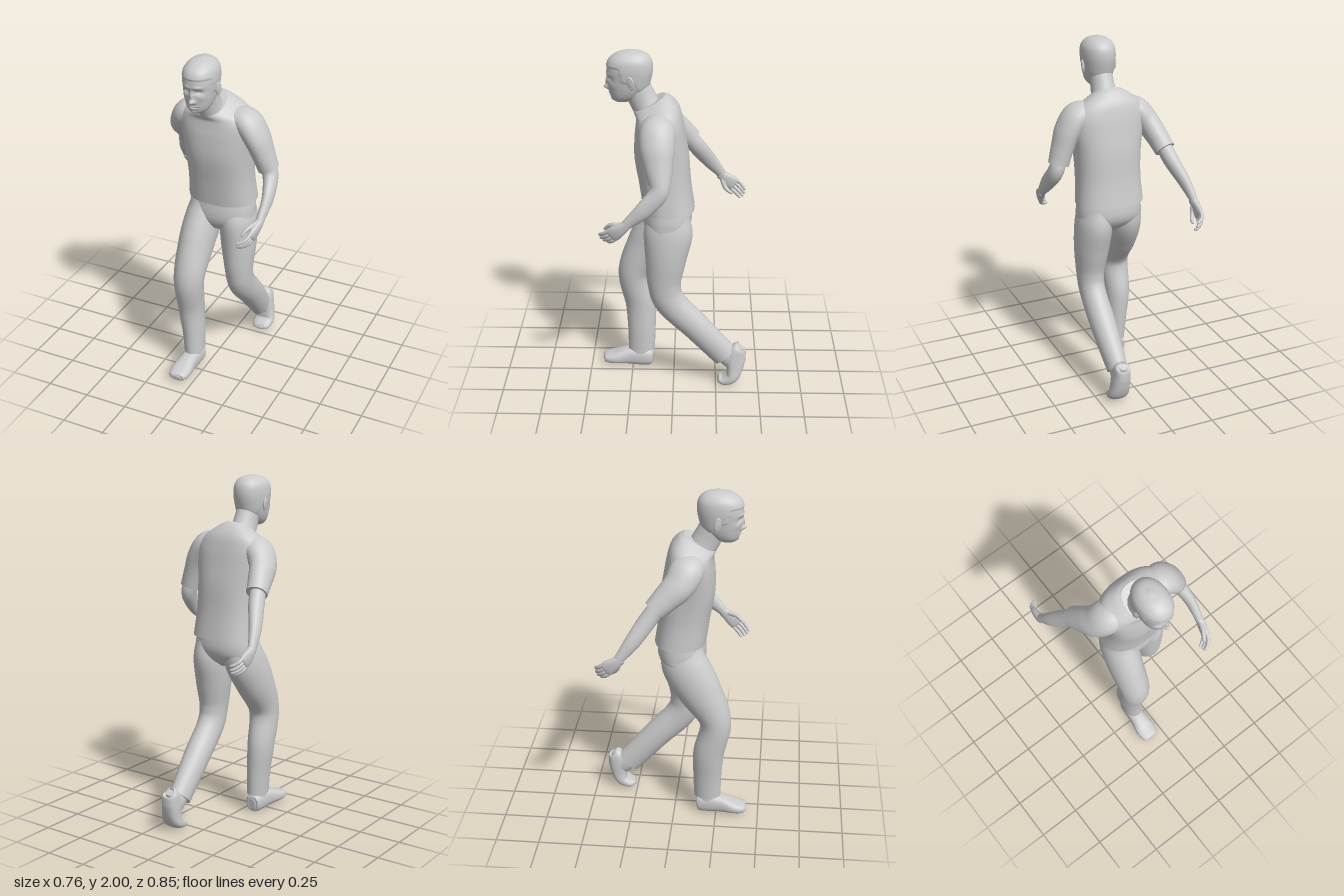
import * as THREE from 'three';

const V = (x, y, z) => new THREE.Vector3(x, y, z);
const X = V(1, 0, 0), Y = V(0, 1, 0), Z = V(0, 0, 1);
const material = new THREE.MeshStandardMaterial({ color: 0xcccccc, side: THREE.DoubleSide });

// Smooth capped tube through sections [x, y, z, halfSide, halfDepth, tilt].
// ref sets the side axis; flat keeps rings horizontal; rule moves each point.
function loft(name, sections, { n = 28, rows = 28, ref = X, flat = false, power = 2, rule } = {}) {
  const path = new THREE.CatmullRomCurve3(sections.map(s => V(s[0], s[1], s[2])), false, 'catmullrom');
  const size = new THREE.CatmullRomCurve3(sections.map(s => V(s[3], s[4], s[5] || 0)), false, 'catmullrom');
  const pos = [], index = [], rings = [];
  const sup = v => Math.sign(v) * Math.pow(Math.abs(v), 2 / power);
  for (let i = 0; i <= rows; i++) {
    const c = path.getPoint(i / rows), r = size.getPoint(i / rows);
    const t = flat ? Y : path.getTangent(i / rows);
    const side = ref.clone().addScaledVector(t, -ref.dot(t)).normalize();
    const up = t.clone().cross(side);
    const ring = [];
    for (let j = 0; j < n; j++) {
      const a = j / n * Math.PI * 2;
      const p = c.clone()
        .addScaledVector(side, Math.max(r.x, 0.002) * sup(Math.cos(a)))
        .addScaledVector(up, Math.max(r.y, 0.002) * sup(Math.sin(a)));
      p.y -= r.z * (p.z - c.z);
      if (rule) rule(p, c);
      ring.push(p);
      pos.push(p.x, p.y, p.z);
    }
    rings.push(ring);
  }
  for (let i = 0; i < rows; i++) for (let j = 0; j < n; j++) {
    const k = (j + 1) % n, a = i * n + j, b = i * n + k;
    index.push(a, b, b + n, a, b + n, a + n);
  }
  // End caps keep a crisp rim
  for (const [ring, first] of [[rings[0], true], [rings[rows], false]]) {
    const base = pos.length / 3;
    const mid = ring.reduce((s, p) => s.add(p), V(0, 0, 0)).divideScalar(n);
    for (const p of [...ring, mid]) pos.push(p.x, p.y, p.z);
    for (let j = 0; j < n; j++) {
      const k = (j + 1) % n;
      index.push(base + n, base + (first ? k : j), base + (first ? j : k));
    }
  }
  const g = new THREE.BufferGeometry();
  g.setAttribute('position', new THREE.Float32BufferAttribute(pos, 3));
  g.setIndex(index);
  g.computeVertexNormals();
  const mesh = new THREE.Mesh(g, material);
  mesh.name = name;
  return mesh;
}

function ellipsoid(name, p, s, rotX = 0, rotY = 0) {
  const m = new THREE.Mesh(new THREE.SphereGeometry(1, 20, 14), material);
  m.name = name;
  m.position.copy(p);
  m.scale.set(...s);
  m.rotation.set(rotX, rotY, 0);
  return m;
}

// Face features as soft bumps [x offset, y, x spread, y spread, depth]; mirrored in x
const bumps = [
  [0, 1.793, 0.013, 0.013, 0.026], [0, 1.825, 0.010, 0.024, 0.014],   // nose tip, bridge
  [0.014, 1.790, 0.008, 0.008, 0.006],                                // nostrils
  [0.034, 1.848, 0.019, 0.012, -0.014], [0.032, 1.874, 0.026, 0.009, 0.006], // sockets, brows
  [0.052, 1.815, 0.016, 0.016, 0.005],                                // cheekbones
  [0, 1.764, 0.024, 0.005, 0.007], [0, 1.750, 0.020, 0.005, 0.007],   // lips
  [0, 1.757, 0.024, 0.003, -0.006], [0, 1.724, 0.022, 0.012, 0.009],  // mouth line, chin
];
function faceRule(p, c) {
  const dx = Math.abs(p.x - c.x);
  if (p.z > c.z) {
    const front = THREE.MathUtils.smoothstep(p.z - c.z, 0, 0.06);
    let dz = 0;
    for (const [x, y, sx, sy, d] of bumps)
      dz += d * Math.exp(-(((dx - x) / sx) ** 2) - ((p.y - y) / sy) ** 2);
    p.z += dz * front;
  }
  // Raised hair: high over the forehead, sideburns, low nape
  const S = THREE.MathUtils.smoothstep;
  const line = 1.775 + 0.06 * S(p.z, 0.18, 0.22) + 0.08 * S(p.z, 0.275, 0.30);
  const k = 1 + 0.04 * S(p.y, line - 0.004, line + 0.004) * (1 - S(p.y, 1.95, 1.99));
  p.x = c.x + (p.x - c.x) * k;
  p.z = c.z + (p.z - c.z) * k;
}

function makeHead() {
  const g = new THREE.Group();
  g.name = 'head';
  g.add(loft('skullAndFace', [
    [0.007, 1.708, 0.285, 0.012, 0.014], [0.007, 1.716, 0.28, 0.036, 0.042],
    [0.007, 1.740, 0.268, 0.060, 0.074], [0.007, 1.785, 0.250, 0.077, 0.104],
    [0.007, 1.840, 0.244, 0.086, 0.117], [0.007, 1.900, 0.242, 0.090, 0.124],
    [0.007, 1.950, 0.238, 0.082, 0.112], [0.007, 1.985, 0.232, 0.055, 0.075],
    [0.007, 2.000, 0.230, 0.006, 0.008],
  ], { n: 88, rows: 110, flat: true, power: 2.15, rule: faceRule }));
  for (const s of [-1, 1]) {
    g.add(ellipsoid('eye', V(0.007 + s * 0.034, 1.847, 0.328), [0.014, 0.008, 0.012]));
    const ear = ellipsoid('ear', V(0.007 + s * 0.092, 1.838, 0.232), [0.009, 0.038, 0.021], 0.2, s * -0.35);
    const rim = new THREE.Mesh(new THREE.TorusGeometry(0.7, 0.22, 8, 20), material);
    rim.name = 'earRim';
    rim.rotation.y = Math.PI / 2;
    rim.position.x = s * 0.6;
    ear.add(rim);
    g.add(ear);
  }
  return g;
}

// Hand: dir runs to the fingers, across points to the thumb side, inward is the palm side
function makeHand(name, wrist, dir, across, inward) {
  const g = new THREE.Group();
  g.name = name;
  const at = (l, w, d, a, b) => {
    const p = wrist.clone().addScaledVector(dir, l).addScaledVector(across, w);
    return [p.x + inward * d, p.y, p.z, a, b];
  };
  g.add(loft('palm', [
    at(-0.02, 0, 0, 0.022, 0.027), at(0.02, 0, 0, 0.021, 0.033),
    at(0.06, 0, 0.004, 0.019, 0.042), at(0.092, 0, 0.008, 0.014, 0.040), at(0.1, 0, 0.009, 0.004, 0.025),
  ], { n: 20, rows: 16, power: 2.5 }));
  [-0.031, -0.0105, 0.0105, 0.031].forEach((w, i) => {
    const k = [0.8, 0.95, 1, 0.92][i];
    g.add(loft('finger', [
      at(0.08, w, 0.006, 0.011, 0.011), at(0.08 + 0.04 * k, w * 1.02, 0.014, 0.0105, 0.0105),
      at(0.08 + 0.07 * k, w, 0.035, 0.0095, 0.0095), at(0.08 + 0.083 * k, w * 0.95, 0.056, 0.008, 0.008),
      at(0.08 + 0.085 * k, w * 0.94, 0.062, 0.002, 0.002),
    ], { n: 12, rows: 14, ref: across }));
  });
  g.add(loft('thumb', [
    at(0.01, 0.015, 0.006, 0.015, 0.015), at(0.05, 0.04, 0.022, 0.014, 0.013),
    at(0.085, 0.045, 0.038, 0.011, 0.011), at(0.108, 0.04, 0.044, 0.008, 0.008), at(0.113, 0.039, 0.045, 0.002, 0.002),
  ], { n: 12, rows: 14, ref: across }));
  return g;
}

export function createModel() {
  const man = new THREE.Group();
  man.name = 'walkingMan';
  man.add(makeHead());
  man.add(loft('neck', [
    [0.01, 1.63, 0.12, 0.085, 0.08], [0.008, 1.72, 0.168, 0.067, 0.078], [0.007, 1.81, 0.21, 0.064, 0.074],
  ]));

  // Shirt
  man.add(loft('shirt', [
    [0.035, 1.10, 0.027, 0.195, 0.146], [0.033, 1.25, 0.048, 0.186, 0.146],
    [0.030, 1.40, 0.066, 0.192, 0.152], [0.026, 1.52, 0.075, 0.208, 0.142],
    [0.022, 1.60, 0.080, 0.212, 0.130, 0.1], [0.015, 1.655, 0.090, 0.180, 0.118, 0.25],
    [0.010, 1.69, 0.115, 0.120, 0.102, 0.45], [0.010, 1.705, 0.135, 0.082, 0.088, 0.55],
  ], { n: 48, rows: 48, flat: true, power: 2.4 }));
  man.add(loft('leftSleeve', [
    [0.12, 1.635, 0.085, 0.07, 0.05], [0.20, 1.608, 0.085, 0.095, 0.072], [0.257, 1.53, 0.085, 0.096, 0.068],
    [0.292, 1.44, 0.078, 0.080, 0.061], [0.322, 1.345, 0.068, 0.062, 0.058],
  ], { ref: Z }));
  man.add(loft('rightSleeve', [
    [-0.08, 1.63, 0.085, 0.07, 0.05], [-0.15, 1.60, 0.075, 0.095, 0.074], [-0.205, 1.53, 0.035, 0.088, 0.068],
    [-0.235, 1.46, -0.035, 0.074, 0.062], [-0.255, 1.40, -0.095, 0.062, 0.059],
  ], { ref: Z }));

  // Bare arms and hands
  man.add(loft('leftForearm', [
    [0.315, 1.38, 0.07, 0.044, 0.046], [0.338, 1.30, 0.075, 0.042, 0.052], [0.358, 1.21, 0.155, 0.031, 0.048],
    [0.357, 1.14, 0.232, 0.024, 0.032], [0.355, 1.105, 0.265, 0.022, 0.027],
  ]));
  man.add(loft('rightForearm', [
    [-0.25, 1.43, -0.07, 0.044, 0.046], [-0.277, 1.345, -0.13, 0.043, 0.050], [-0.322, 1.24, -0.205, 0.033, 0.044],
    [-0.345, 1.165, -0.262, 0.024, 0.031], [-0.350, 1.135, -0.283, 0.022, 0.027],
  ]));
  man.add(makeHand('leftHand', V(0.355, 1.11, 0.262), V(-0.06, -0.62, 0.78).normalize(), V(0, 0.78, 0.62), -1));
  man.add(makeHand('rightHand', V(-0.350, 1.135, -0.280), V(-0.08, -0.62, -0.78).normalize(), V(0, -0.78, 0.62), 1));

  // Trousers
  man.add(loft('trouserSeat', [
    [0.035, 1.14, 0.032, 0.178, 0.130], [0.035, 1.04, 0.034, 0.190, 0.138],
    [0.032, 0.98, 0.042, 0.180, 0.122], [0.030, 0.93, 0.055, 0.090, 0.080],
  ], { n: 40, flat: true, power: 2.3 }));
  man.add(loft('rightTrouserLeg', [
    [-0.055, 1.08, 0.035, 0.085, 0.115], [-0.066, 0.97, 0.062, 0.102, 0.135], [-0.080, 0.83, 0.140, 0.100, 0.128],
    [-0.086, 0.63, 0.238, 0.088, 0.092], [-0.091, 0.42, 0.202, 0.075, 0.090], [-0.080, 0.25, 0.195, 0.064, 0.083],
    [-0.074, 0.115, 0.197, 0.057, 0.079],
  ], { rows: 48 }));
  man.add(loft('leftTrouserLeg', [
    [0.125, 1.08, 0.025, 0.085, 0.115], [0.130, 0.97, 0.030, 0.102, 0.138], [0.138, 0.82, 0.043, 0.099, 0.118],
    [0.144, 0.66, 0.052, 0.080, 0.096], [0.144, 0.54, 0.015, 0.074, 0.090], [0.139, 0.38, -0.133, 0.073, 0.083],
    [0.130, 0.19, -0.302, 0.058, 0.077],
  ], { rows: 48 }));

  // Shoes: front one flat on the ground, rear one pushing off its toes
  const ground = p => { p.y = Math.max(p.y, 0.004); };
  man.add(loft('rightAnkle', [
    [-0.075, 0.18, 0.20, 0.045, 0.062], [-0.076, 0.10, 0.203, 0.047, 0.066], [-0.078, 0.04, 0.21, 0.046, 0.070],
  ]));
  man.add(loft('rightShoe', [
    [-0.074, 0.055, 0.132, 0.020, 0.030], [-0.074, 0.056, 0.142, 0.044, 0.052], [-0.076, 0.062, 0.20, 0.050, 0.060],
    [-0.080, 0.060, 0.28, 0.052, 0.052], [-0.085, 0.048, 0.36, 0.062, 0.036], [-0.088, 0.043, 0.415, 0.050, 0.025],
    [-0.088, 0.042, 0.428, 0.020, 0.010],
  ], { rows: 36, power: 2.5, rule: ground }));
  man.add(loft('leftAnkle', [
    [0.130, 0.24, -0.265, 0.045, 0.060], [0.133, 0.18, -0.325, 0.047, 0.062], [0.136, 0.14, -0.365, 0.044, 0.055],
  ]));
  man.add(loft('leftShoe', [
    [0.134, 0.248, -0.390, 0.020, 0.022], [0.134, 0.238, -0.384, 0.042, 0.044], [0.137, 0.18, -0.366, 0.050, 0.060],
    [0.142, 0.11, -0.362, 0.055, 0.049], [0.145, 0.058, -0.345, 0.061, 0.038], [0.143, 0.034, -0.300, 0.056, 0.026],
    [0.141, 0.037, -0.270, 0.040, 0.018], [0.141, 0.039, -0.262, 0.016, 0.008],
  ], { rows: 36, power: 2.5, rule: ground }));
  return man;
}
